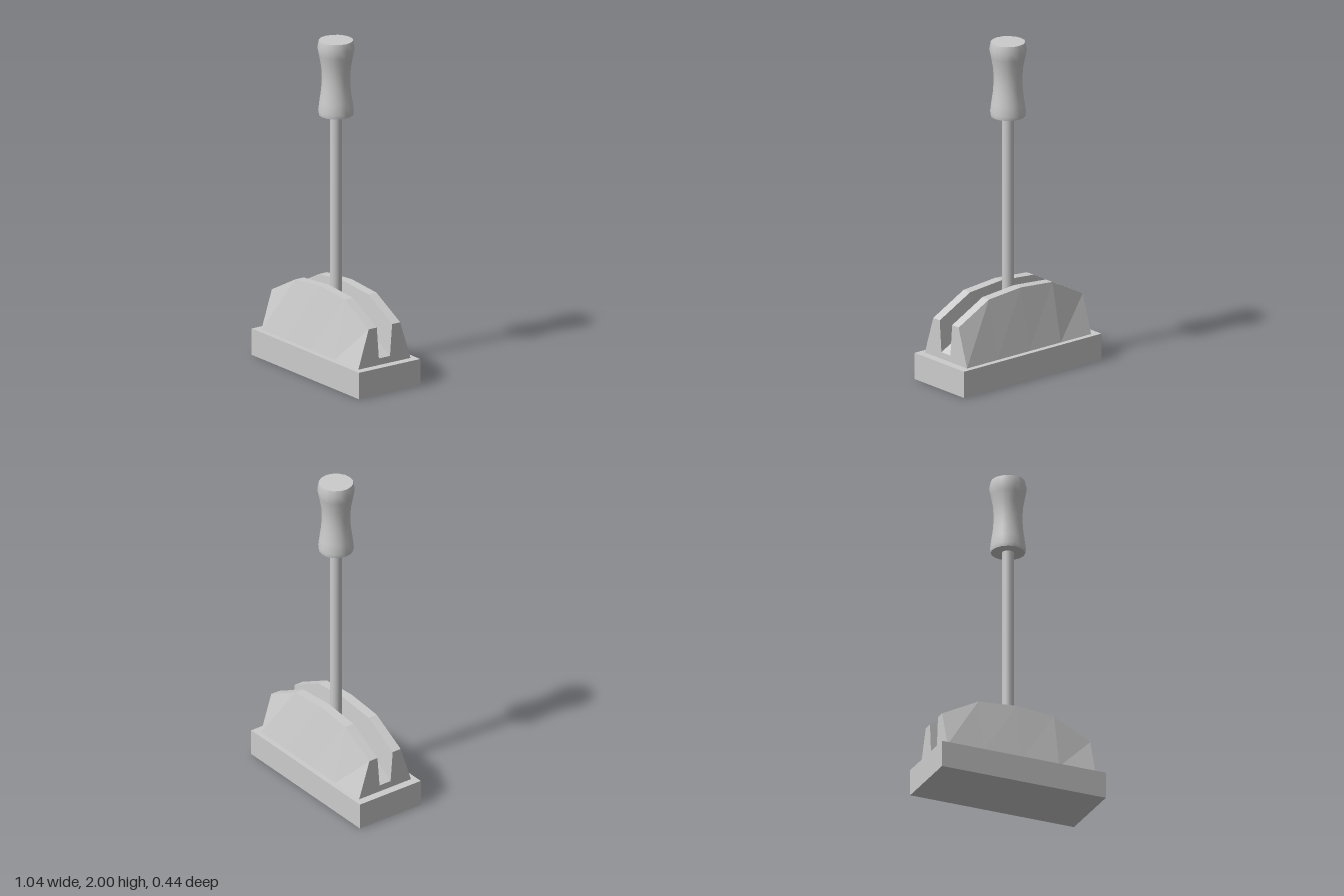
import * as THREE from 'three';

const material = new THREE.MeshStandardMaterial({ color: 0xcccccc });
const flatMaterial = new THREE.MeshStandardMaterial({ color: 0xcccccc, flatShading: true });

function addPart(group, name, geometry, mat, y = 0) {
  const mesh = new THREE.Mesh(geometry, mat);
  mesh.name = name;
  mesh.position.y = y;
  group.add(mesh);
}

// Slotted housing: one cross-section per station, joined along x
function housingGeometry() {
  const stations = [[-0.47, 0.39], [-0.24, 0.51], [0, 0.53], [0.24, 0.51], [0.47, 0.39]];
  const section = (x, top) => {
    const half = [[0.187, 0.16], [0.113, top], [0.055, top], [0.04, top - 0.19]];
    const mirrored = half.map(([z, y]) => [-z, y]).reverse();
    return [...half, ...mirrored].map(([z, y]) => [x, y, z]);
  };
  const rings = stations.map(([x, top]) => section(x, top));
  const positions = [];
  const quad = (a, b, c, d) => positions.push(...a, ...b, ...c, ...a, ...c, ...d);

  // Walls, rims, slot and underside
  for (let i = 0; i < rings.length - 1; i++) {
    const p = rings[i], q = rings[i + 1];
    for (let j = 0; j < 8; j++) {
      const k = (j + 1) % 8;
      quad(p[j], q[j], q[k], p[k]);
    }
  }
  // U-shaped end faces
  const first = rings[0], last = rings[rings.length - 1];
  for (const [a, b, c, d] of [[0, 1, 2, 3], [4, 5, 6, 7], [0, 3, 4, 7]]) {
    quad(first[a], first[b], first[c], first[d]);
    quad(last[d], last[c], last[b], last[a]);
  }
  const geometry = new THREE.BufferGeometry();
  geometry.setAttribute('position', new THREE.Float32BufferAttribute(positions, 3));
  geometry.computeVertexNormals();
  return geometry;
}

// Waisted grip with sharp end rims (rim points are doubled)
function gripGeometry() {
  const profile = [
    [0, 1.55], [0.1, 1.55], [0.1, 1.55], [0.104, 1.575], [0.097, 1.63], [0.087, 1.7],
    [0.083, 1.77], [0.087, 1.84], [0.1, 1.91], [0.109, 1.955], [0.1, 2], [0.1, 2], [0, 2],
  ];
  return new THREE.LatheGeometry(profile.map(([r, y]) => new THREE.Vector2(r, y)), 16);
}

export function createModel() {
  const model = new THREE.Group();
  model.name = 'lever';
  addPart(model, 'base', new THREE.BoxGeometry(1.04, 0.16, 0.44), flatMaterial, 0.08);
  addPart(model, 'slottedHousing', housingGeometry(), flatMaterial);
  addPart(model, 'shaft', new THREE.CylinderGeometry(0.035, 0.035, 1.27, 16), material, 0.935);
  addPart(model, 'grip', gripGeometry(), material);
  return model;
}
